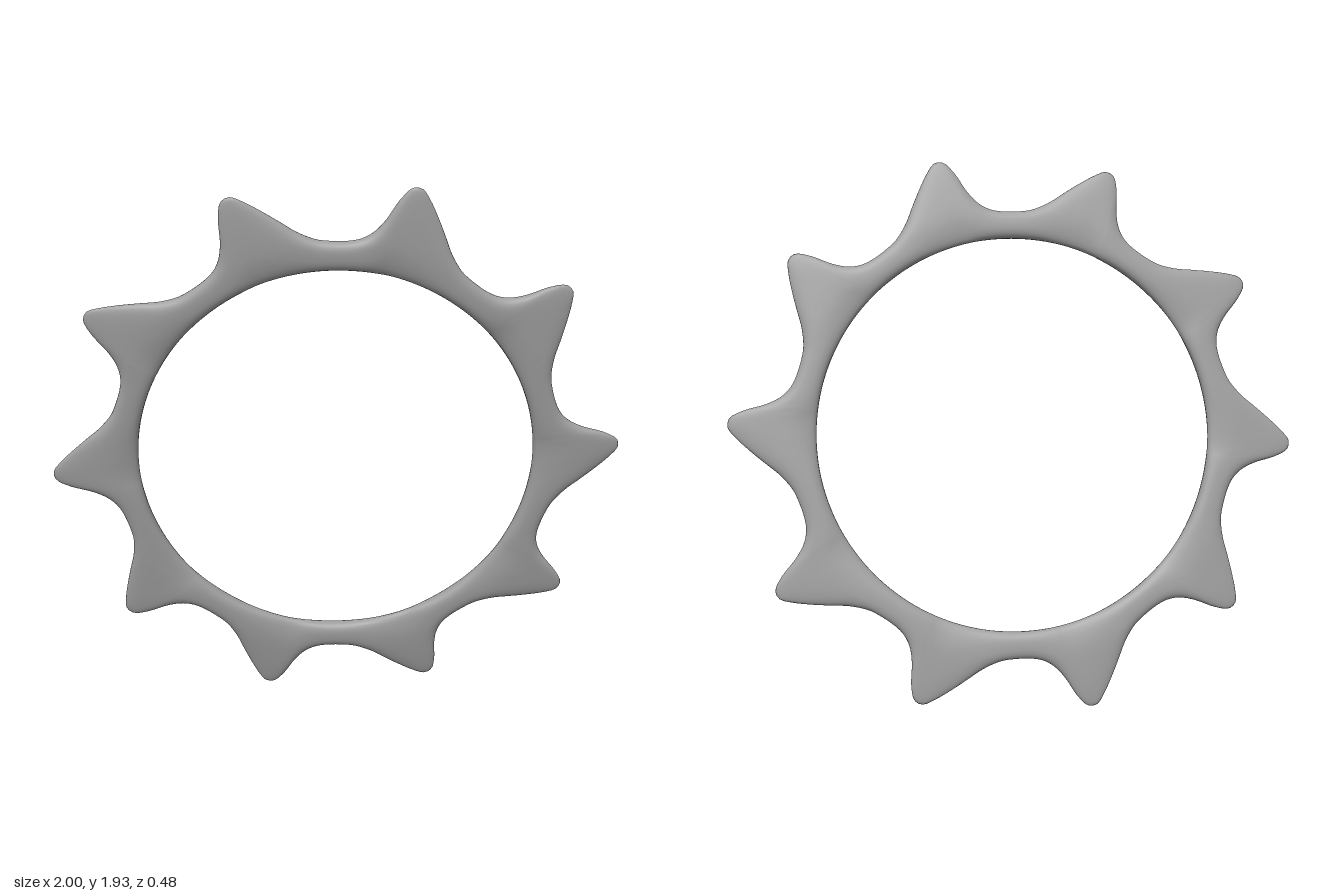
import * as THREE from 'three';

const TEETH = 10, STEPS = 48, SIDES = 28;
const INNER = 0.705;            // radius of the round opening
const PHASE = 4.1;              // angle of the first tooth tip, degrees

// Outline of one slightly hooked tooth: [degrees from tip, radius]
const TOOTH = [
  [-19, 0.803], [-16, 0.812], [-12, 0.845], [-9, 0.887], [-6, 0.935], [-3, 0.985], [-1, 1.012],
  [0.8, 1.008], [2.5, 0.965], [4.5, 0.887], [6.5, 0.842], [9, 0.815], [12, 0.803],
];

const softPow = (v, p) => Math.sign(v) * Math.abs(v) ** p;

function toothedRingGeometry() {
  // Closed outline through all teeth
  const points = [];
  for (let k = 0; k < TEETH; k++) {
    for (const [deg, r] of TOOTH) {
      const a = THREE.MathUtils.degToRad(PHASE + 36 * k + deg);
      points.push(new THREE.Vector3(r * Math.cos(a), r * Math.sin(a), 0));
    }
  }
  const count = TEETH * STEPS;
  const outline = new THREE.CatmullRomCurve3(points, true);
  outline.arcLengthDivisions = 2000;
  const rim = outline.getSpacedPoints(count);

  // Rounded cross-sections from the opening to the outline, thinner toward tips
  const positions = [], index = [];
  for (let i = 0; i < count; i++) {
    const outer = Math.hypot(rim[i].x, rim[i].y);
    const cx = rim[i].x / outer, cy = rim[i].y / outer;
    for (let j = 0; j < SIDES; j++) {
      const t = (j / SIDES) * Math.PI * 2;
      const r = INNER + (outer - INNER) * (1 - softPow(Math.cos(t), 0.8)) / 2;
      const half = 0.031 - 0.08 * Math.max(0, r - 0.8);
      positions.push(cx * r, cy * r, half * softPow(Math.sin(t), 0.75));

      const i2 = (i + 1) % count, j2 = (j + 1) % SIDES;
      const a = i * SIDES + j, b = i * SIDES + j2, c = i2 * SIDES + j2, d = i2 * SIDES + j;
      index.push(a, b, c, a, c, d);
    }
  }
  const geometry = new THREE.BufferGeometry();
  geometry.setAttribute('position', new THREE.Float32BufferAttribute(positions, 3));
  geometry.setIndex(index);
  geometry.computeVertexNormals();
  return geometry;
}

export function createModel() {
  const group = new THREE.Group();
  group.name = 'toothedRing';

  const grey = new THREE.MeshStandardMaterial({ color: 0xa0a0a0 });
  grey.name = 'grey';

  // Ring leaning forward at the top and turned slightly to one side
  const ring = new THREE.Mesh(toothedRingGeometry(), grey);
  ring.name = 'ring';
  const normal = new THREE.Vector3(-0.16, -0.185, 1).normalize();
  ring.quaternion.setFromUnitVectors(new THREE.Vector3(0, 0, 1), normal);
  ring.position.y = 0.968;
  group.add(ring);
  return group;
}
